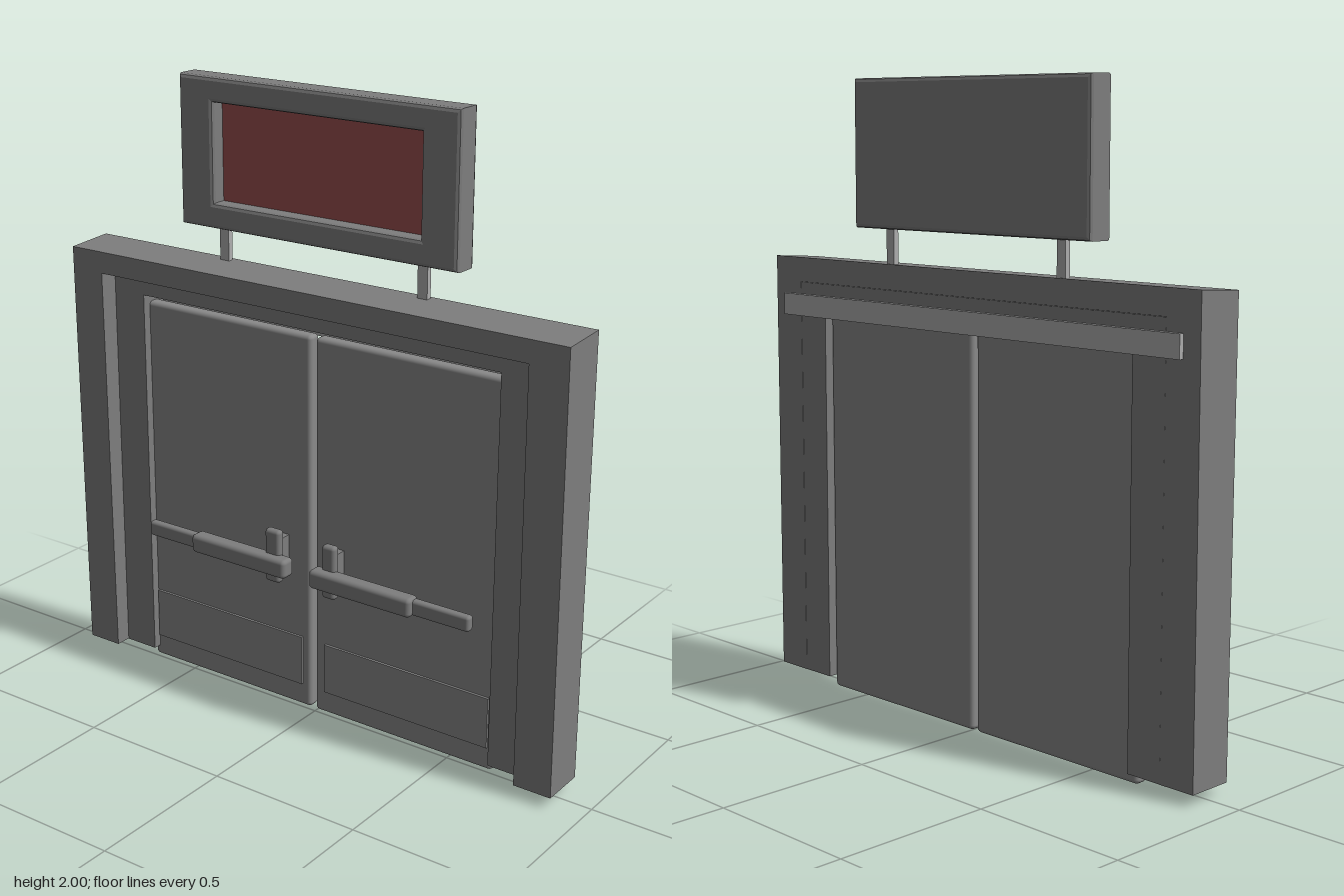
import * as THREE from 'three';
import { RoundedBoxGeometry } from 'three/addons/geometries/RoundedBoxGeometry.js';

const darkGrey = new THREE.MeshStandardMaterial({ color: 0x7e7e7e });
const doorGrey = new THREE.MeshStandardMaterial({ color: 0x8a8a8a });
const lightGrey = new THREE.MeshStandardMaterial({ color: 0xaeaeae });
const red = new THREE.MeshStandardMaterial({ color: 0x9a4e4e });

function add(parent, name, geometry, material) {
  const mesh = new THREE.Mesh(geometry, material);
  mesh.name = name;
  parent.add(mesh);
}

// Box given by its limits on each axis; a radius rounds its edges.
function box(parent, name, material, [x0, x1], [y0, y1], [z0, z1], radius = 0) {
  const size = [x1 - x0, y1 - y0, z1 - z0];
  const geometry = radius
    ? new RoundedBoxGeometry(...size, 2, radius)
    : new THREE.BoxGeometry(...size);
  geometry.translate((x0 + x1) / 2, (y0 + y1) / 2, (z0 + z1) / 2);
  add(parent, name, geometry, material);
}

function polygon(points) {
  return new THREE.Shape(points.map(([x, y]) => new THREE.Vector2(x, y)));
}

function rectangle(x0, x1, y0, y1) {
  return polygon([[x0, y0], [x1, y0], [x1, y1], [x0, y1]]);
}

// Upside-down U shape around the doorway, extruded between two depths.
function portal(outer, outerTop, left, right, innerTop, z0, z1) {
  const bottom = 0.04;
  const shape = polygon([
    [-outer, bottom], [left, bottom], [left, innerTop], [right, innerTop],
    [right, bottom], [outer, bottom], [outer, outerTop], [-outer, outerTop],
  ]);
  const geometry = new THREE.ExtrudeGeometry(shape, { depth: z1 - z0, bevelEnabled: false });
  return geometry.translate(0, 0, z0);
}

function createFrame() {
  const frame = new THREE.Group();
  frame.name = 'doorFrame';

  // Outer surround, leaning slightly forward with a sloping top
  const surround = portal(0.9, 1.43, -0.78, 0.775, 1.35, -0.078, 0.07);
  const p = surround.attributes.position;
  for (let i = 0; i < p.count; i++) {
    if (p.getZ(i) < 0) continue;
    if (p.getY(i) > 1.3) p.setZ(i, 0.079);
    if (p.getY(i) > 1.4) p.setY(i, 1.42);
  }
  surround.computeVertexNormals();
  add(frame, 'surround', surround, darkGrey);

  // Recessed inner step
  add(frame, 'innerJamb', portal(0.779, 1.349, -0.66, 0.655, 1.285, -0.077, 0.018), darkGrey);

  // Track across the back
  box(frame, 'backRail', lightGrey, [-0.84, 0.845], [1.24, 1.31], [-0.093, -0.076]);
  return frame;
}

// Door leaf with kick plate and push bar
function createDoor(name, d) {
  const door = new THREE.Group();
  door.name = name;
  box(door, 'doorLeaf', doorGrey, d.leaf, [0.005, 1.258], [-0.056, -0.01], 0.014);
  box(door, 'kickPlate', doorGrey, d.kick, [0.083, 0.25], [-0.015, -0.002]);
  const [a, b] = d.plate;
  box(door, 'latchMount', darkGrey, [a + 0.012, b - 0.012], [0.48, 0.59], [-0.012, 0.035]);
  box(door, 'latchPlate', darkGrey, d.plate, [0.447, 0.625], [0.03, 0.06], 0.012);
  box(door, 'pushBar', darkGrey, d.bar, [0.482, 0.544], [0.036, 0.09], 0.014);
  box(door, 'pushBarEnd', darkGrey, d.end, [0.486, 0.536], [0.04, 0.07], 0.01);
  return door;
}

function createSign() {
  const sign = new THREE.Group();
  sign.name = 'sign';

  // Casing with a bevelled window opening
  const bevel = 0.012;
  const shape = rectangle(-0.507 + bevel, 0.493 - bevel, 1.538 + bevel, 2 - bevel);
  shape.holes.push(rectangle(-0.392, 0.378, 1.605, 1.935));
  const casing = new THREE.ExtrudeGeometry(shape, {
    depth: 0.088 - 2 * bevel, bevelSize: bevel, bevelThickness: bevel, bevelSegments: 2,
  });
  casing.translate(0, 0, -0.086 + bevel);
  add(sign, 'casing', casing, darkGrey);
  box(sign, 'backPanel', darkGrey, [-0.392, 0.378], [1.605, 1.935], [-0.086, -0.055]);
  box(sign, 'window', red, [-0.381, 0.367], [1.616, 1.924], [-0.056, -0.048]);

  // Support posts
  for (const x of [-0.382, 0.345]) {
    box(sign, 'post', lightGrey, [x - 0.017, x + 0.017], [1.41, 1.56], [-0.068, -0.05]);
  }
  return sign;
}

export function createModel() {
  const model = new THREE.Group();
  model.name = 'doubleDoor';
  model.add(
    createFrame(),
    createDoor('rightDoor', {
      leaf: [-0.68, -0.023], kick: [-0.655, -0.055],
      plate: [-0.153, -0.096], bar: [-0.428, -0.055], end: [-0.62, -0.41],
    }),
    createDoor('leftDoor', {
      leaf: [-0.007, 0.652], kick: [0.035, 0.637],
      plate: [0.066, 0.116], bar: [0.037, 0.41], end: [0.39, 0.605],
    }),
    createSign(),
  );
  return model;
}
